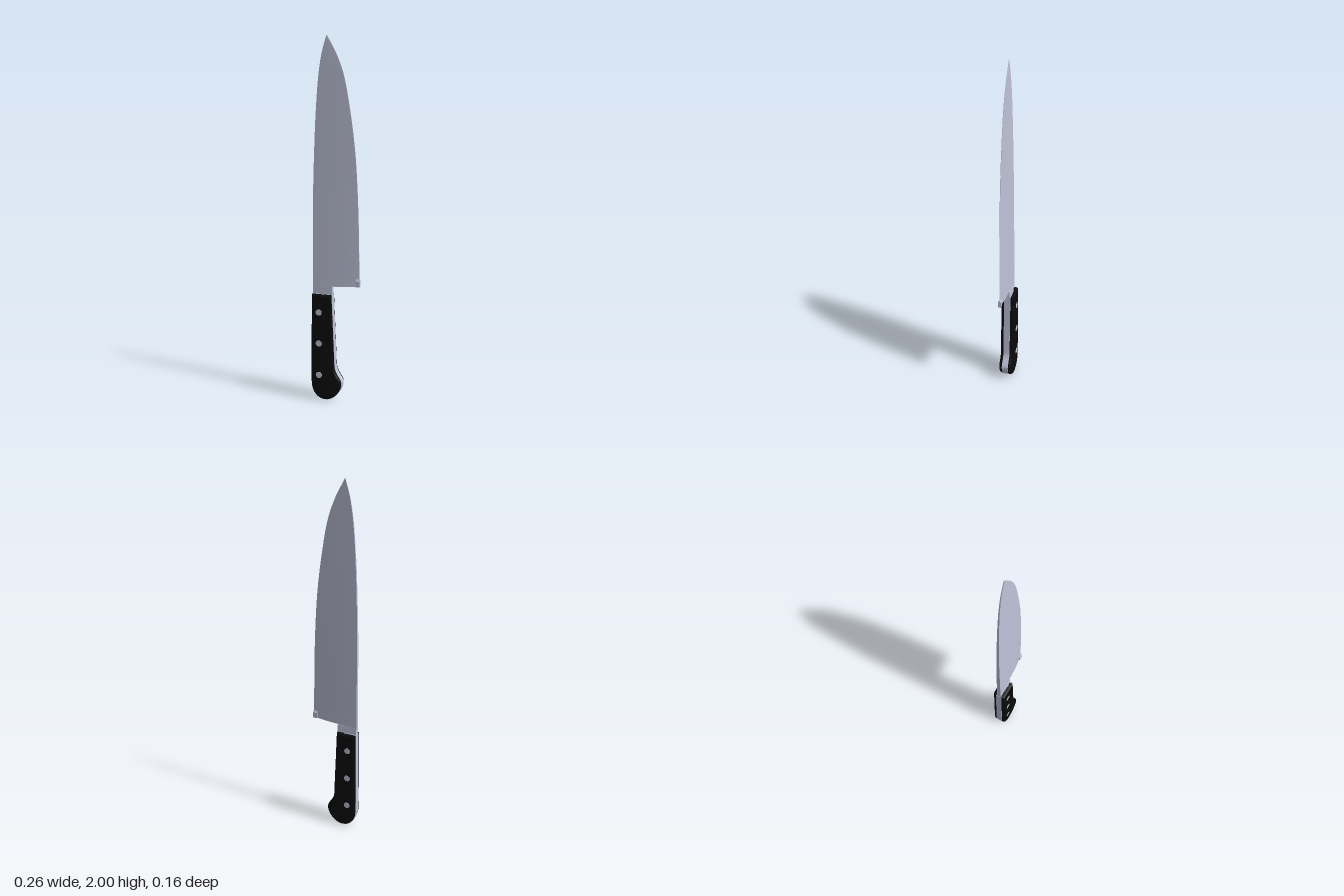
import * as THREE from 'three';
import { toCreasedNormals } from 'three/addons/utils/BufferGeometryUtils.js';

const steel = new THREE.MeshStandardMaterial({ color: 0xbfc3d9 });
steel.name = 'steel';
const black = new THREE.MeshStandardMaterial({ color: 0x0a0a0a });
black.name = 'black handle';

function part(name, geometry, material, parent) {
  const mesh = new THREE.Mesh(geometry, material);
  mesh.name = name;
  parent.add(mesh);
  return mesh;
}

// Skin a stack of rings (each counter-clockwise from above) and cap both ends
function loft(rings) {
  const n = rings[0].length, index = [];
  for (let i = 0; i < rings.length - 1; i++) {
    for (let j = 0; j < n; j++) {
      const a = i * n + j, b = i * n + (j + 1) % n;
      index.push(a, b, b + n, a, b + n, a + n);
    }
  }
  const top = (rings.length - 1) * n;
  for (let k = 1; k < n - 1; k++) {
    index.push(0, k + 1, k, top, top + k, top + k + 1);
  }
  const g = new THREE.BufferGeometry().setFromPoints(rings.flat());
  g.setIndex(index);
  return toCreasedNormals(g, 0.12);
}

// Blade section: flat cheeks from the spine to a ridge, then a bevel to the edge
function bladeGeometry() {
  // spine position, height, edge position
  const outline = new THREE.CatmullRomCurve3([
    [-0.123, 0.65, 0.144], [-0.121, 1.0, 0.137], [-0.119, 1.2, 0.129],
    [-0.113, 1.4, 0.115], [-0.104, 1.6, 0.089], [-0.088, 1.8, 0.05],
    [-0.07, 1.91, 0.008], [-0.044, 2.0, -0.042],
  ].map((p) => new THREE.Vector3(...p)));
  const rings = [];
  for (let i = 0; i <= 36; i++) {
    const p = outline.getPoint(i / 36);
    const t = (p.y - 0.65) / 1.35;
    const half = 0.012 * (1 - t) + 0.002 * t;
    const side = [[0, half], [0.7, half * 0.8], [1, 0.001]];
    const at = ([f, w], s) => new THREE.Vector3(
      p.x + f * (p.z - p.x), p.y + (i === 0 ? 0.014 * f : 0), s * w);
    rings.push([
      ...side.map((q) => at(q, 1)),
      ...side.slice().reverse().map((q) => at(q, -1)),
    ]);
  }
  return loft(rings);
}

// Handle outline with a rounded hooked pommel
function handleShape(grow) {
  const l = -0.122 - grow, s = new THREE.Shape();
  s.moveTo(l, 0.61);
  s.lineTo(l - 0.005, 0.3);
  s.lineTo(l - 0.005, 0.1);
  s.bezierCurveTo(l - 0.005, 0.04, -0.095, -grow, -0.045, -grow);
  s.bezierCurveTo(0.0, -grow, 0.046 + grow, 0.05, 0.046 + grow, 0.1);
  s.bezierCurveTo(0.046 + grow, 0.13, 0.008 + grow, 0.15, 0.005 + grow, 0.2);
  s.lineTo(0.001 + grow, 0.3);
  s.lineTo(-0.012 + grow, 0.61);
  s.closePath();
  return s;
}

export function createModel() {
  const model = new THREE.Group();
  model.name = 'kitchenKnife';
  const knife = new THREE.Group();
  knife.name = 'knife';
  knife.rotation.y = -27 * Math.PI / 180;
  knife.position.set(-0.003, 0, 0.006);
  model.add(knife);

  part('blade', bladeGeometry(), steel, knife);

  // Neck joining blade and handle
  const neckRing = (y, w) => [[-0.123, 0.012], [-0.01, w], [-0.01, -w], [-0.123, -0.012]]
    .map(([u, d]) => new THREE.Vector3(u, y, d));
  part('neck', loft([neckRing(0.6, 0.017), neckRing(0.656, 0.012)]), steel, knife);

  // Thickened heel corner at the bottom of the cutting edge
  const heelRing = (y, w) => [[0.122, w], [0.146, w], [0.146, -w], [0.122, -w]]
    .map(([u, d]) => new THREE.Vector3(u, y, d));
  part('heel', loft([heelRing(0.663, 0.009), heelRing(0.695, 0.009), heelRing(0.705, 0.004)]), steel, knife);

  // Handle grips with rounded faces
  const grip = new THREE.ExtrudeGeometry(handleShape(0), {
    depth: 0.052, bevelThickness: 0.012, bevelSize: 0.012, bevelOffset: -0.012,
    bevelSegments: 4, curveSegments: 10,
  });
  grip.translate(0, 0, -0.026);
  part('handleGrips', toCreasedNormals(grip, 0.6), black, knife);

  // Full tang showing between the grips
  const tang = new THREE.ExtrudeGeometry(handleShape(0.002), {
    depth: 0.038, bevelEnabled: false, curveSegments: 10,
  });
  tang.translate(0, -0.002, -0.019);
  const tangMesh = part('tang', toCreasedNormals(tang, 0.6), steel, knife);
  tangMesh.position.y = 0.002;

  // Rivets through the handle
  for (const y of [0.145, 0.33, 0.51]) {
    const rivet = part('rivet', new THREE.CylinderGeometry(0.018, 0.018, 0.08, 16), steel, knife);
    rivet.rotation.x = Math.PI / 2;
    rivet.position.set(-0.08, y, 0);
  }
  return model;
}
